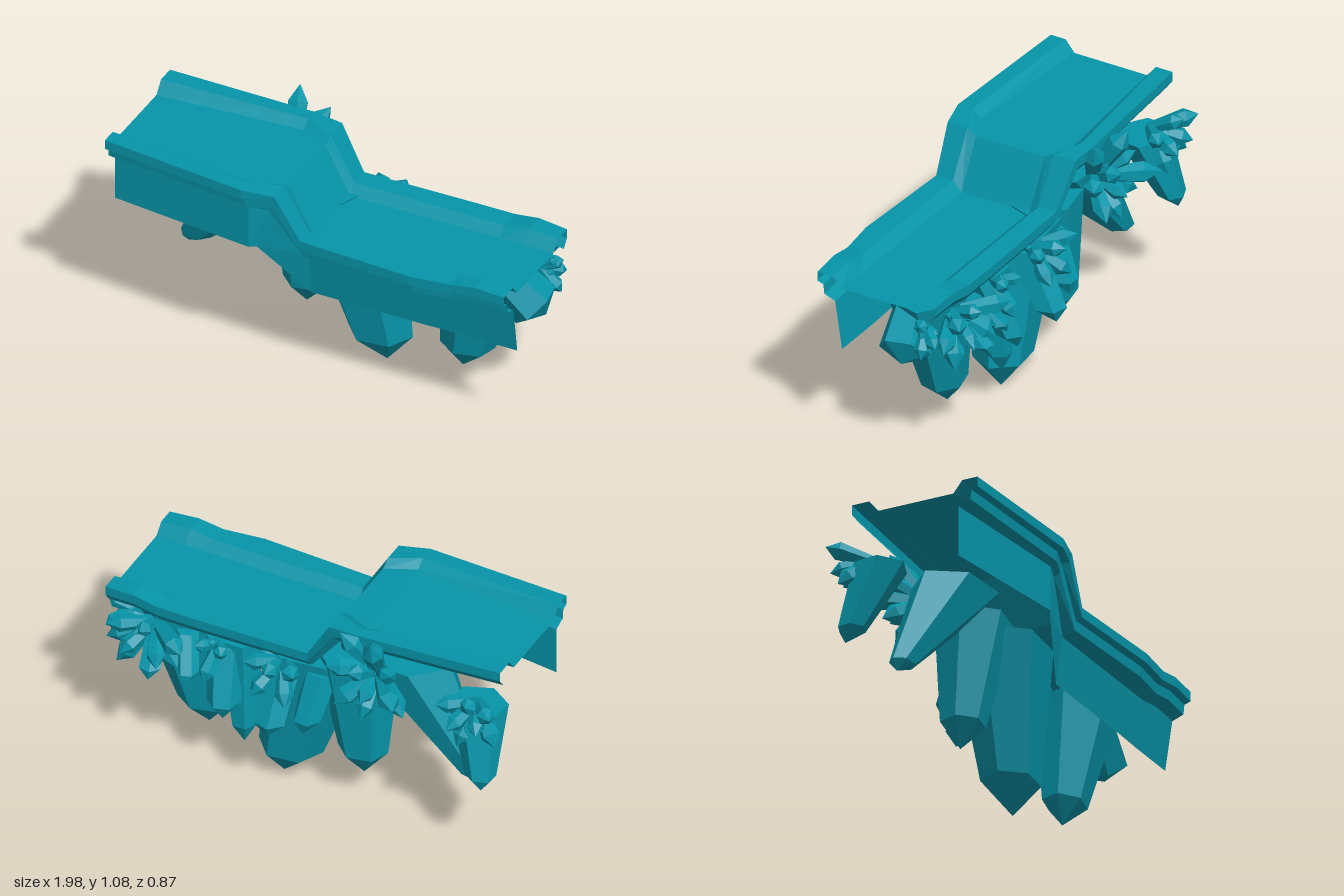
import * as THREE from 'three';

const material = new THREE.MeshStandardMaterial({ color: 0x0694a8, flatShading: true, side: THREE.DoubleSide });

let seed = 7;
const rand = () => {
  seed = (seed * 16807) % 2147483647;
  return seed / 2147483647;
};

// Ledge stations: x of the top, x of the skirt hem, rim y, floor y, hem y, then z of
// front edge, front rim crease, back rim crease, back edge, skirt top, skirt hem
const STATIONS = [
  [-0.97, -0.97, 1.055, 1.0, 0.70, 0.385, 0.31, -0.15, -0.235, 0.29, 0.29],
  [-0.28, -0.28, 1.03, 0.997, 0.70, 0.433, 0.36, -0.20, -0.26, 0.37, 0.37],
  [-0.14, -0.25, 1.02, 0.994, 0.70, 0.40, 0.30, -0.14, -0.25, 0.34, 0.35],
  [-0.02, -0.03, 0.815, 0.772, 0.475, 0.385, 0.30, -0.135, -0.225, 0.29, 0.26],
  [0.52, 0.52, 0.812, 0.772, 0.473, 0.41, 0.30, -0.135, -0.235, 0.29, 0.26],
  [0.71, 0.71, 0.812, 0.772, 0.472, 0.387, 0.30, -0.135, -0.235, 0.29, 0.255],
  [0.83, 0.83, 0.83, 0.772, 0.471, 0.385, 0.30, -0.135, -0.23, 0.29, 0.255],
  [0.97, 0.97, 0.82, 0.772, 0.47, 0.38, 0.30, -0.135, -0.22, 0.29, 0.255]
];

// Cross-section from the skirt hem, over both rims, to the back lip
function section([x, xh, top, floor, hem, zf, fi, bi, zb, zs, zh]) {
  const mix = (k) => x + (xh - x) * k;
  return [
    [xh, hem, zh],
    [mix(0.5), top - 0.12, zs],
    [mix(0.4), top - 0.1, zf - 0.035],
    [mix(0.35), top - 0.055, zf - 0.03],
    [mix(0.2), top - 0.045, zf],
    [x, top, zf],
    [x, top, fi],
    [x, floor, fi - 0.045],
    [x, floor, bi + 0.045],
    [x, top, bi],
    [x, top, zb],
    [mix(0.2), top - 0.045, zb],
    [mix(0.35), top - 0.085, zb + 0.03]
  ];
}

function ledge() {
  const rows = STATIONS.map(section);
  const index = [];
  const n = rows[0].length;
  for (let i = 0; i < rows.length - 1; i++) {
    for (let j = 0; j < n - 1; j++) {
      const a = i * n + j, b = a + n;
      index.push(a, b, b + 1, a, b + 1, a + 1);
    }
  }
  const geometry = new THREE.BufferGeometry();
  geometry.setAttribute('position', new THREE.Float32BufferAttribute(rows.flat(2), 3));
  geometry.setIndex(index);
  geometry.computeVertexNormals();
  const mesh = new THREE.Mesh(geometry, material);
  mesh.name = 'ledge';
  return mesh;
}

// Six-sided crystal standing on the origin, pointing up
function crystalGeometry(len, r0, r1, shoulder, spin) {
  const points = [[0, 0], [r0, 0], [r1, len * shoulder], [0, len]].map((p) => new THREE.Vector2(...p));
  return new THREE.LatheGeometry(points, 6).rotateY(spin);
}

// Crystal turned to point from base to tip
function spike(name, base, tip, r0, r1, shoulder, spin = rand() * 2) {
  const from = new THREE.Vector3(...base);
  const axis = new THREE.Vector3(...tip).sub(from);
  const mesh = new THREE.Mesh(crystalGeometry(axis.length(), r0, r1, shoulder, spin), material);
  mesh.name = name;
  mesh.position.copy(from);
  mesh.quaternion.setFromUnitVectors(new THREE.Vector3(0, 1, 0), axis.normalize());
  return mesh;
}

// Crystal hanging down with level rings, sheared from base to tip
function hanging(base, tip, r0, r1, shoulder, depth, spin) {
  const len = base[1] - tip[1];
  const geometry = crystalGeometry(len, r0, r1, shoulder, spin).rotateX(Math.PI);
  geometry.scale(1, 1, depth);
  const pos = geometry.attributes.position;
  for (let i = 0; i < pos.count; i++) {
    const k = -pos.getY(i) / len;
    pos.setX(i, pos.getX(i) + (tip[0] - base[0]) * k);
    pos.setZ(i, pos.getZ(i) + (tip[2] - base[2]) * k);
  }
  const mesh = new THREE.Mesh(geometry, material);
  mesh.name = 'hangingCrystal';
  mesh.position.set(...base);
  return mesh;
}

// Base, tip, base radius, shoulder radius, shoulder height, depth ratio, spin
const HANGING = [
  [[0.02, 0.74, -0.03], [0.175, 0, -0.065], 0.25, 0.15, 0.81, 0.85, 0.4],
  [[0.69, 0.72, -0.03], [0.56, 0.105, -0.03], 0.23, 0.125, 0.82, 0.75, 0.2],
  [[-0.18, 0.78, -0.06], [-0.235, 0.16, -0.1], 0.2, 0.115, 0.81, 0.85, 0.3],
  [[-0.39, 0.84, -0.04], [-0.81, 0.3, -0.1], 0.25, 0.075, 0.91, 0.7, 0.6],
  [[-0.83, 0.8, -0.17], [-0.91, 0.435, -0.3], 0.135, 0.07, 0.82, 0.9, 0.1],
  [[0.37, 0.7, -0.1], [0.32, 0.17, -0.16], 0.11, 0.06, 0.82, 1, 0.5],
  [[0.42, 0.68, -0.13], [0.37, 0.35, -0.27], 0.09, 0.075, 0.78, 1, 0.2],
  [[0.12, 0.7, -0.15], [0.13, 0.37, -0.32], 0.09, 0.08, 0.78, 1, 0.8],
  [[-0.06, 0.7, -0.15], [-0.03, 0.42, -0.29], 0.08, 0.065, 0.75, 1, 0.6],
  [[0.6, 0.68, -0.16], [0.52, 0.51, -0.31], 0.05, 0.05, 0.75, 1, 0.2],
  [[0.74, 0.68, -0.16], [0.7, 0.49, -0.34], 0.05, 0.055, 0.75, 1, 0.7]
];

// Back clusters: centre and the offsets of the spike tips
const CLUSTERS = [
  { at: [-0.84, 0.83, -0.2], tips: [
    [-0.14, 0.05, -0.16], [-0.14, -0.14, -0.1], [-0.02, 0.08, -0.16], [0.06, -0.06, -0.18],
    [0.14, 0.02, -0.13], [0.04, -0.18, -0.12], [-0.08, -0.05, -0.17]] },
  { at: [-0.36, 0.83, -0.2], tips: [
    [-0.19, 0, -0.24], [-0.04, 0.25, -0.16], [0.14, 0.22, -0.1], [0.06, 0.08, -0.18],
    [0.2, 0.04, -0.13], [0.14, -0.13, -0.16], [0.01, -0.17, -0.16], [-0.18, -0.12, -0.12],
    [-0.13, 0.1, -0.14], [0.0, -0.06, -0.18]] },
  { at: [0.12, 0.7, -0.18], tips: [
    [-0.13, 0.05, -0.16], [0, 0.04, -0.18], [0.13, 0.03, -0.13], [0.08, -0.12, -0.16],
    [-0.09, -0.13, -0.16]] },
  { at: [0.43, 0.68, -0.18], tips: [
    [0.07, 0.03, -0.11], [-0.06, 0.02, -0.11], [0.02, -0.14, -0.13]] },
  { at: [0.75, 0.68, -0.17], tips: [
    [-0.21, 0, -0.17], [-0.09, -0.12, -0.17], [0, 0.04, -0.15], [0.09, -0.1, -0.17],
    [0.17, 0.02, -0.14], [0.2, -0.1, -0.08], [0.14, -0.2, -0.1], [-0.17, -0.12, -0.12]] },
  { at: [0.89, 0.66, -0.12], tips: [
    [0.1, 0.05, -0.03], [0.08, -0.05, -0.1], [0.09, -0.12, -0.03]] }
];

function cluster({ at, tips }) {
  const group = new THREE.Group();
  group.name = 'crystalCluster';
  const offset = (d) => at.map((v, i) => v + d[i]);
  for (const d of tips) {
    const r = 0.02 + Math.hypot(...d) * 0.1;
    group.add(spike('spike', at, offset(d), r * 0.6, r, 0.74));
    // A small shard beside each spike
    const shard = d.map((v) => v * 0.5 + (rand() - 0.5) * 0.07);
    group.add(spike('shard', at, offset(shard), 0.012, 0.018, 0.75));
  }
  return group;
}

export function createModel() {
  seed = 7;
  const model = new THREE.Group();
  model.name = 'crystalLedge';
  model.add(ledge());
  for (const args of HANGING) model.add(hanging(...args));
  model.add(spike('endCrystal', [0.78, 0.66, 0], [0.96, 0.48, -0.04], 0.1, 0.12, 0.75, 0.3));
  for (const c of CLUSTERS) model.add(cluster(c));
  return model;
}
